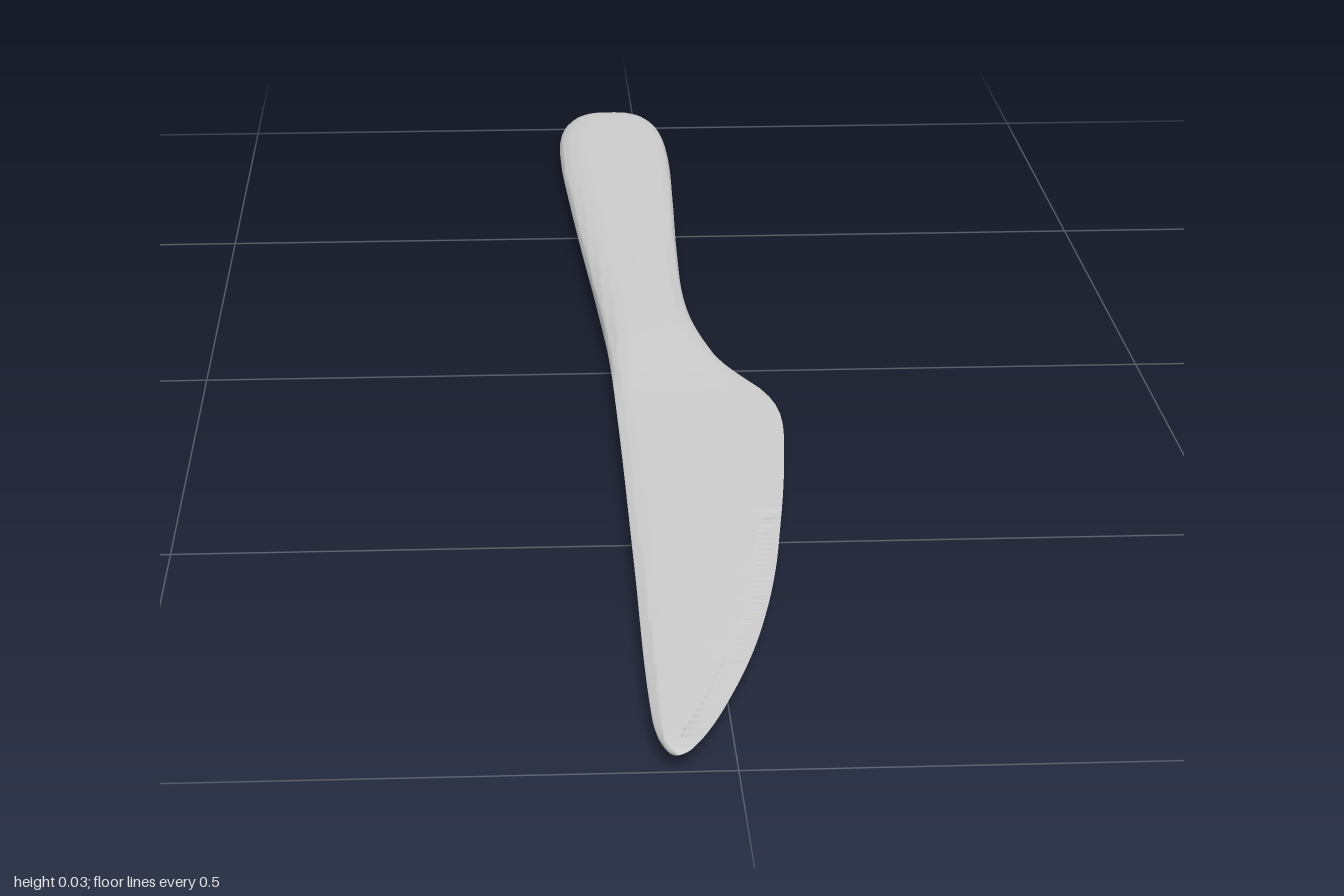
import * as THREE from 'three';
import { toCreasedNormals } from 'three/addons/utils/BufferGeometryUtils.js';

const MID = 0.015;        // height of the knife's middle plane
const N = 24;             // points across one face of a cross-section
const TEETH = { from: 0.45, to: 0.97, count: 40, width: 0.022 };

// Smooth outline x(z) through [z, x] knots
function outline(knots) {
  const curve = new THREE.CubicInterpolant(knots.map(k => k[0]), knots.map(k => k[1]), 1);
  return z => curve.evaluate(z)[0];
}

const spineX = outline([
  [-1, -0.045], [-0.995, -0.06], [-0.98, -0.077], [-0.95, -0.091], [-0.9, -0.1], [-0.78, -0.103],
  [-0.6, -0.097], [-0.4, -0.088], [-0.2, -0.078], [0, -0.07], [0.2, -0.068], [0.6, -0.068],
  [0.9, -0.068], [0.95, -0.066], [0.98, -0.061], [0.995, -0.055], [1, -0.05]]);
const edgeX = outline([
  [-1, -0.025], [-0.995, -0.01], [-0.98, 0.008], [-0.95, 0.022], [-0.9, 0.03], [-0.8, 0.034],
  [-0.6, 0.03], [-0.4, 0.024], [-0.2, 0.022], [-0.1, 0.029], [0, 0.047], [0.06, 0.068],
  [0.1, 0.085], [0.15, 0.097], [0.2, 0.1], [0.3, 0.094], [0.4, 0.085], [0.5, 0.074],
  [0.6, 0.062], [0.7, 0.046], [0.8, 0.025], [0.9, -0.003], [0.95, -0.02], [0.98, -0.033],
  [0.995, -0.042], [1, -0.048]]);

// Stations along the length, denser at the round ends
function stations() {
  const list = [];
  for (let i = 0; i <= 10; i++) list.push({ z: -1 + 0.1 * (1 - Math.cos(i / 10 * Math.PI / 2)) });
  for (let i = 1; i < 50; i++) list.push({ z: -0.9 + (TEETH.from + 0.9) * i / 50 });
  // each serration: ridge, ridge, groove, groove
  const pitch = (TEETH.to - TEETH.from) / TEETH.count;
  for (let i = 0; i < TEETH.count; i++) {
    [0, 0.45, 0.5, 0.95].forEach((f, k) =>
      list.push({ z: TEETH.from + (i + f) * pitch, groove: k > 1 }));
  }
  for (let i = 0; i <= 8; i++) list.push({ z: 1 - (1 - TEETH.to) * (1 - Math.sin(i / 8 * Math.PI / 2)) });
  return list;
}

// One closed cross-section: rounded slab in the handle, wedge in the blade
function section({ z, groove }) {
  const left = spineX(z), right = edgeX(z), width = right - left;
  const blade = THREE.MathUtils.smoothstep(z, -0.08, 0.15);
  const round = d => Math.sqrt(Math.max(0, 1 - (1 - Math.min(1, d / 0.04)) ** 2));
  const half = THREE.MathUtils.lerp(0.015, 0.0045, blade) * round(1 + z) * round(1 - z);
  const band = Math.max(0, 1 - 2 * TEETH.width / width);
  const top = [], bottom = [];
  for (let j = 0; j <= N; j++) {
    const tHandle = -Math.cos(Math.PI * j / N);
    const tBlade = j <= N - 3 ? -1 + (band + 1) * (1 - Math.cos(Math.PI / 2 * j / (N - 3)))
      : band + (1 - band) * [0.08, 0.5, 1][j - N + 2];
    const t = THREE.MathUtils.lerp(tHandle, tBlade, blade);
    const slab = Math.sqrt(Math.max(0, 1 - Math.abs(t) ** 3));
    const wedge = Math.min(1, (1 - t) * 0.6) * Math.sqrt(Math.min(1, (1 + t) * 5));
    const y = half * THREE.MathUtils.lerp(slab, wedge, blade);
    const x = left + width * (t + 1) / 2;
    const cut = groove && j > N - 3 && j < N;
    top.push([x, MID + (cut ? -0.3 * y : y), z]);
    if (j > 0 && j < N) bottom.unshift([x, MID - y, z]);
  }
  return [...top, ...bottom];
}

// Skin the sections into one closed surface
function knifeGeometry() {
  const rings = stations().map(section), count = rings[0].length, index = [];
  for (let i = 0; i < rings.length - 1; i++) {
    for (let k = 0; k < count; k++) {
      const a = i * count + k, b = i * count + (k + 1) % count;
      index.push(a, a + count, b, b, a + count, b + count);
    }
  }
  const geometry = new THREE.BufferGeometry();
  geometry.setAttribute('position', new THREE.Float32BufferAttribute(rings.flat(2), 3));
  geometry.setIndex(index);
  return toCreasedNormals(geometry, 0.7);
}

export function createModel() {
  const group = new THREE.Group();
  group.name = 'tableKnife';
  const knife = new THREE.Mesh(knifeGeometry(), new THREE.MeshStandardMaterial({ color: 0xcccccc }));
  knife.name = 'handleAndSerratedBlade';
  group.add(knife);
  return group;
}
